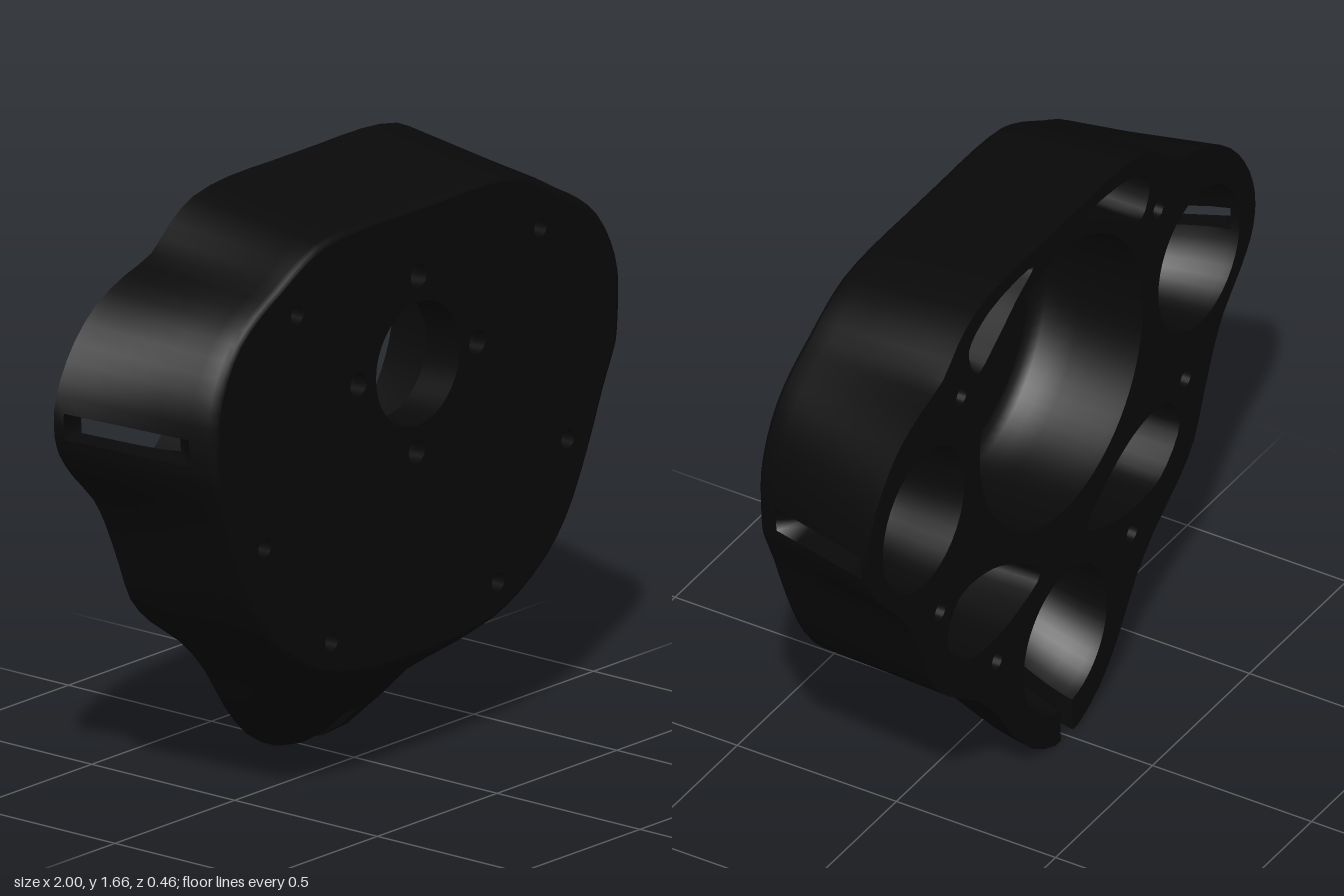
import * as THREE from 'three';

const V2 = (x, y) => new THREE.Vector2(x, y);
const SUB = 2;       // curve steps between outline points
const FLOOR = 0.73;  // pocket depth, 0 = back plane, 1 = front plane
const SEAT = 0.9;    // depth of the bolt recesses

// the back and front planes lean very slightly
const zAt = (t, y) => -0.218 + 0.436 * t + 0.015 * (y - 0.83);
const place = (p, t) => new THREE.Vector3(p.x, p.y, zAt(t, p.y));

// half outline from bottom to top: back x, back y, front x, front y
const OUTLINE = [
  [0.03, 0, 0.03, 0.32], [0.06, 0, 0.07, 0.32], [0.175, 0.06, 0.18, 0.325], [0.27, 0.16, 0.26, 0.335],
  [0.36, 0.29, 0.34, 0.35], [0.46, 0.39, 0.44, 0.39], [0.59, 0.48, 0.56, 0.47], [0.67, 0.56, 0.64, 0.56],
  [0.72, 0.67, 0.7, 0.67], [0.78, 0.8, 0.755, 0.8], [0.83, 0.88, 0.785, 0.88], [0.92, 0.97, 0.815, 0.95],
  [0.975, 1.04, 0.84, 1.01], [0.996, 1.095, 0.845, 1.05], [1, 1.17, 0.848, 1.125], [0.975, 1.255, 0.845, 1.21],
  [0.92, 1.345, 0.815, 1.3], [0.83, 1.43, 0.76, 1.385], [0.71, 1.485, 0.68, 1.45], [0.6, 1.52, 0.59, 1.5],
  [0.52, 1.59, 0.5, 1.55], [0.425, 1.64, 0.41, 1.585], [0.28, 1.66, 0.27, 1.6], [0.1, 1.66, 0.1, 1.6],
];

// closed smooth loop through points; the given points stay on multiples of sub
function smoothLoop(points, sub = SUB) {
  const curve = new THREE.CatmullRomCurve3(points.map((p) => new THREE.Vector3(p.x, p.y, 0)), true);
  const n = points.length * sub;
  return Array.from({ length: n }, (_, i) => {
    const p = curve.getPoint(i / n);
    return V2(p.x, p.y);
  });
}

// circle whose first three points are centred on the angle dir
function circle(cx, cy, r, n = 48, dir = 0) {
  return Array.from({ length: n }, (_, i) => {
    const a = dir + ((i - 1) * 2 * Math.PI) / n;
    return V2(cx + r * Math.cos(a), cy + r * Math.sin(a));
  });
}

// skin over a grid of rows; skip leaves openings
function skin(grid, closed = true, skip = () => false) {
  const n = grid[0].length, index = [];
  for (let r = 0; r < grid.length - 1; r++) {
    for (let c = 0; c < (closed ? n : n - 1); c++) {
      if (skip(r, c)) continue;
      const a = r * n + c, b = r * n + ((c + 1) % n);
      index.push(a, b, b + n, a, b + n, a + n);
    }
  }
  const g = new THREE.BufferGeometry().setFromPoints(grid.flat());
  g.setIndex(index);
  g.computeVertexNormals();
  return g;
}

// flat face with holes at depth t
function face(contour, holes, t) {
  const shape = new THREE.Shape(contour);
  shape.holes = holes.map((h) => new THREE.Path(h));
  const g = new THREE.ShapeGeometry(shape), p = g.attributes.position;
  for (let i = 0; i < p.count; i++) p.setZ(i, zAt(t, p.getY(i)));
  g.computeVertexNormals();
  return g;
}

// straight hole wall between two depths
const tube = (loop, t0, t1) => skin([t0, t1].map((t) => loop.map((p) => place(p, t))));

// rim of a slot two columns wide
function rim(grid, c0, r0, r1, closed) {
  const n = grid[0].length, at = (r, c) => grid[r][(c0 + c) % n], out = [];
  for (let r = r0; r <= r1; r++) out.push(at(r, 0));
  out.push(at(r1, 1));
  for (let r = r1; r >= r0; r--) out.push(at(r, 2));
  if (closed) out.push(at(r0, 1));
  return out;
}

export function createModel() {
  const group = new THREE.Group();
  const black = new THREE.MeshStandardMaterial({ color: 0x090909, side: THREE.DoubleSide });
  black.name = 'black';
  const add = (name, geometry) => {
    const mesh = new THREE.Mesh(geometry, black);
    mesh.name = name;
    group.add(mesh);
  };

  // outer wall, tapering forward with a small rounded front edge
  const mirrored = (i) => [
    ...OUTLINE.map((p) => V2(p[i], p[i + 1])),
    ...OUTLINE.map((p) => V2(-p[i], p[i + 1])).reverse(),
  ];
  const back = smoothLoop(mirrored(0)), front = smoothLoop(mirrored(2));
  const rows = [0, 0.06, 0.2, 0.35, 0.5, 0.65, 0.84, 0.955, 0.985, 1];
  const inset = { 0.985: 0.993, 1: 0.978 };
  const wall = rows.map((t) => back.map((b, i) => {
    const p = b.clone().lerp(front[i], t), k = inset[t] ?? 1;
    // hollow sweep under the bottom lobe
    p.y -= 0.048 * Math.sin(Math.PI * Math.min(1, t / 0.65)) * Math.max(0, 1 - b.y / 0.3);
    return place(V2(p.x * k, 1 + (p.y - 1) * k), t);
  }));

  // slots: wall column, first row, last row
  const slots = {
    left: [26, 1, 6], right: [66, 1, 6], bottom: [94, 0, 4],
  };
  const inSlot = ([c0, r0, r1], r, c) => c >= c0 && c < c0 + 2 && r >= r0 && r < r1;
  add('outerWall', skin(wall, true, (r, c) => Object.values(slots).some((s) => inSlot(s, r, c))));

  // pockets sunk into the back, rounded into their floors
  const steps = [[0, 0], [0.08, 0], [0.25, 0], [0.42, 0], [0.6, 0], [0.78, 0.04], [0.9, 0.25], [0.97, 0.6], [1, 1]];
  const backHoles = [];
  function pocket(name, rimLoop, floorLoop, { slot, holes = [], fillet = 0.3 } = {}) {
    const mid = floorLoop.reduce((m, p) => m.add(p), V2(0, 0)).divideScalar(floorLoop.length);
    const grid = steps.map(([f, k]) => rimLoop.map((p, i) =>
      place(p.clone().lerp(floorLoop[i], f ** 1.4).lerp(mid, k * fillet), f * FLOOR)));
    const inner = slot && [0, slot[1], slot[2]];
    add(name + 'Wall', skin(grid, true, (r, c) => slot && inSlot(inner, r, c)));
    add(name + 'Floor', face(grid[grid.length - 1].map((p) => V2(p.x, p.y)), holes, FLOOR));
    if (slot) {
      const closed = slot[1] > 0;
      add(name + 'Slot', skin([rim(wall, ...slot, closed), rim(grid, ...inner, closed)], closed));
    }
    if (!slot || slot[1] > 0) backHoles.push(rimLoop);
  }

  // middle pocket with a centre opening and four recessed bolt holes
  const CY = 1.152;
  const opening = circle(0, CY, 0.175);
  const boltSpots = [[-0.248, CY], [0.248, CY], [0, CY + 0.248], [0, CY - 0.248]];
  const recesses = boltSpots.map(([x, y]) => circle(x, y, 0.068, 28));
  const bolts = boltSpots.map(([x, y]) => circle(x, y, 0.034, 20));
  pocket('centrePocket', circle(0, CY, 0.42, 64), circle(0, CY, 0.4, 64),
    { holes: [opening, ...recesses], fillet: 0.12 });
  add('centreOpening', tube(opening, FLOOR, 1));
  recesses.forEach((loop, i) => {
    add('boltRecess', tube(loop, FLOOR, SEAT));
    add('boltSeat', face(loop, [bolts[i]], SEAT));
    add('boltHole', tube(bolts[i], SEAT, 1));
  });

  for (const [s, name, slot] of [[1, 'left', slots.left], [-1, 'right', slots.right]]) {
    // slotted round pocket in the side lobe
    const dir = s > 0 ? 0 : Math.PI;
    pocket(name + 'LobePocket', circle(s * 0.71, 1.13, 0.21, 38, dir), circle(s * 0.66, 1.09, 0.15, 38, dir), { slot });

    // lightening pockets beside the bottom lobe and above the centre
    const lower = [[0.12, 0.6], [0.25, 0.71], [0.4, 0.77], [0.54, 0.765], [0.6, 0.66], [0.5, 0.545], [0.38, 0.527], [0.25, 0.545]];
    const upper = [[0.13, 1.61], [0.36, 1.6], [0.465, 1.535], [0.425, 1.435], [0.34, 1.475], [0.22, 1.555]];
    for (const [part, pts] of [['LowerPocket', lower], ['UpperPocket', upper]]) {
      const loop = smoothLoop(pts.map(([x, y]) => V2(s * x, y)), 4);
      const mid = loop.reduce((m, p) => m.add(p), V2(0, 0)).divideScalar(loop.length);
      pocket(name + part, loop, loop.map((p) => p.clone().lerp(mid, 0.1)), { fillet: 0.2 });
    }
  }

  // bottom lobe pocket, open to the slot in the lower tip
  const tipDir = -Math.PI / 2;
  const tip = circle(0, 0.31, 0.215, 44, tipDir);
  pocket('bottomLobePocket', tip, circle(0, 0.41, 0.15, 44, tipDir), { slot: slots.bottom });

  // screw holes running the full depth
  const screws = [];
  for (const s of [1, -1]) {
    for (const [x, y] of [[0.508, 1.413], [0.633, 0.785], [0.348, 0.452]]) screws.push(circle(s * x, y, 0.027, 20));
  }
  screws.forEach((loop) => add('screwHole', tube(loop, 0, 1)));

  // front plate and back rim
  const flat = (row) => row.map((p) => V2(p.x, p.y));
  add('frontFace', face(flat(wall[wall.length - 1]), [opening, ...bolts, ...screws], 1));
  const backContour = [...flat(wall[0]).slice(0, 95), tip[0], ...tip.slice(2).reverse()];
  add('backFace', face(backContour, [...backHoles, ...screws], 0));

  return group;
}
